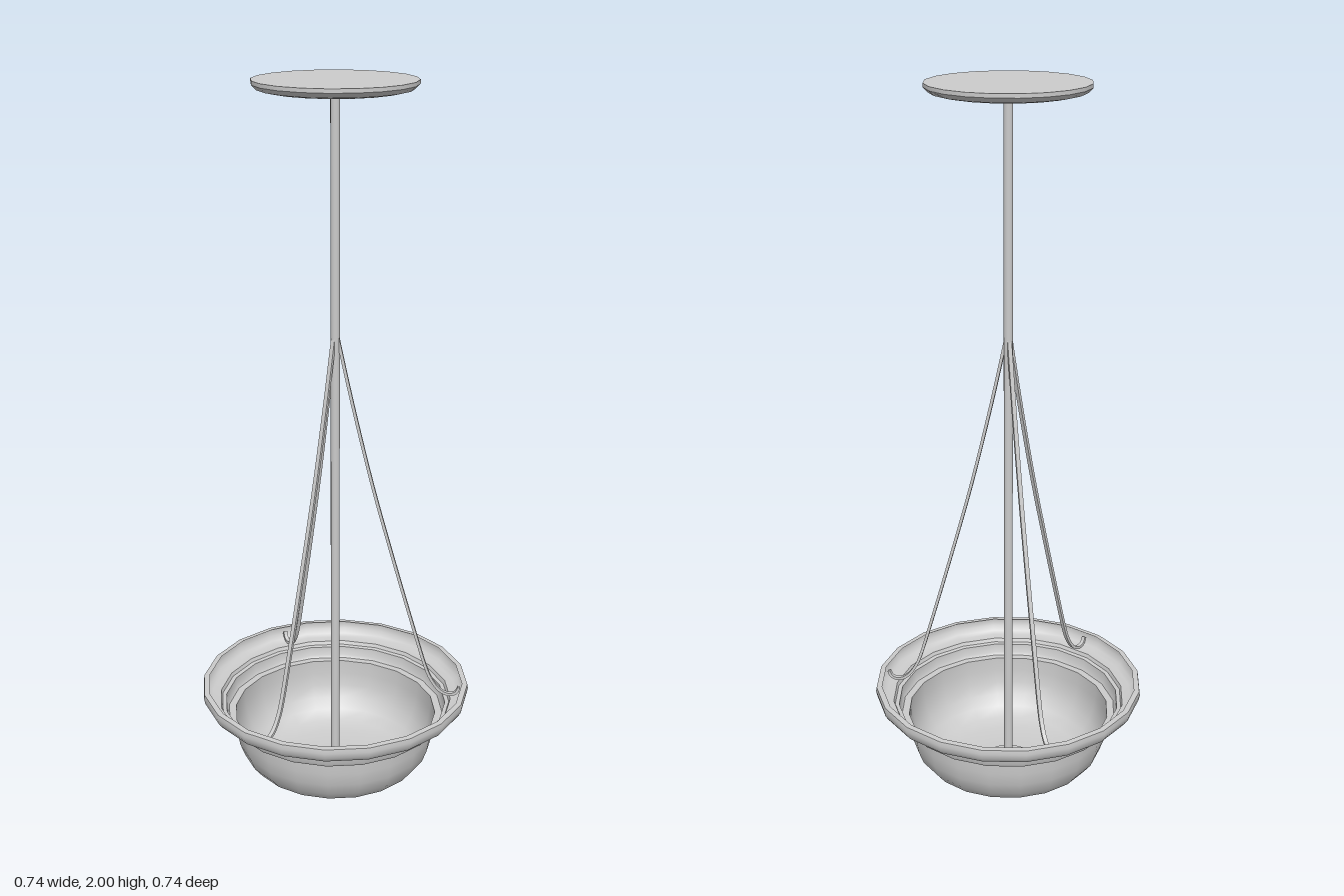
import * as THREE from 'three';
import { toCreasedNormals } from 'three/addons/utils/BufferGeometryUtils.js';

const SIDES = 20;

export function createModel() {
  const group = new THREE.Group();
  const solid = new THREE.MeshStandardMaterial({ color: 0xcccccc });
  const open = new THREE.MeshStandardMaterial({ color: 0xcccccc, side: THREE.DoubleSide });

  const add = (name, geometry, material = solid) => {
    const mesh = new THREE.Mesh(geometry, material);
    mesh.name = name;
    group.add(mesh);
    return mesh;
  };
  // Turned part from [radius, height] pairs, listed bottom to top
  const turned = (profile) => toCreasedNormals(
    new THREE.LatheGeometry(profile.map(([r, y]) => new THREE.Vector2(r, y)), SIDES), 0.6);

  // Ceiling plate
  add('ceilingPlate', turned([[0, 1.972], [0.17, 1.973], [0.193, 1.978], [0.205, 1.99], [0.205, 2], [0, 2]]));

  // Central rod
  const rod = add('centralRod', new THREE.CylinderGeometry(0.012, 0.012, 1.88, 12));
  rod.position.y = 1.035;

  // Stepped glass bowl, a thin open shell
  add('bowl', turned([
    [0, 0.1], [0.1, 0.101], [0.165, 0.105], [0.205, 0.115], [0.238, 0.135], [0.26, 0.163],
    [0.273, 0.198], [0.279, 0.235], [0.28, 0.275],
    [0.3, 0.275], [0.305, 0.283], [0.307, 0.308], [0.318, 0.31], [0.322, 0.32],
    [0.345, 0.321], [0.358, 0.327], [0.367, 0.34], [0.37, 0.355], [0.368, 0.367], [0.353, 0.368],
  ]), open);

  // Finial cup and ball under the bowl
  add('finialCup', turned([
    [0, 0.05], [0.02, 0.053], [0.045, 0.06], [0.06, 0.066], [0.064, 0.073], [0.06, 0.08],
    [0.07, 0.082], [0.072, 0.104], [0, 0.104],
  ]));
  const ball = add('finialBall', new THREE.SphereGeometry(0.025, 16, 12));
  ball.position.y = 0.025;

  // Flat hanger strap: offset the centre line to both sides, then extrude its width
  const path = new THREE.SplineCurve([
    [0.004, 1.37], [0.045, 1.18], [0.1, 0.95], [0.16, 0.73], [0.22, 0.52], [0.25, 0.42], [0.268, 0.378],
    [0.29, 0.348], [0.315, 0.335], [0.336, 0.34], [0.345, 0.357],
  ].map(([x, y]) => new THREE.Vector2(x, y)));
  const inner = [], outer = [];
  for (let i = 0; i <= 40; i++) {
    const p = path.getPoint(i / 40), t = path.getTangent(i / 40);
    const n = new THREE.Vector2(-t.y, t.x).multiplyScalar(0.004);
    outer.push(p.clone().add(n));
    inner.unshift(p.clone().sub(n));
  }
  const strap = new THREE.ExtrudeGeometry(new THREE.Shape([...outer, ...inner]), { depth: 0.011, bevelEnabled: false });
  strap.translate(0, 0, -0.0055);
  const strapGeometry = toCreasedNormals(strap, 0.6);
  for (let i = 0; i < 3; i++) {
    add('hangerStrap' + (i + 1), strapGeometry).rotation.y = i * Math.PI * 2 / 3;
  }
  return group;
}
